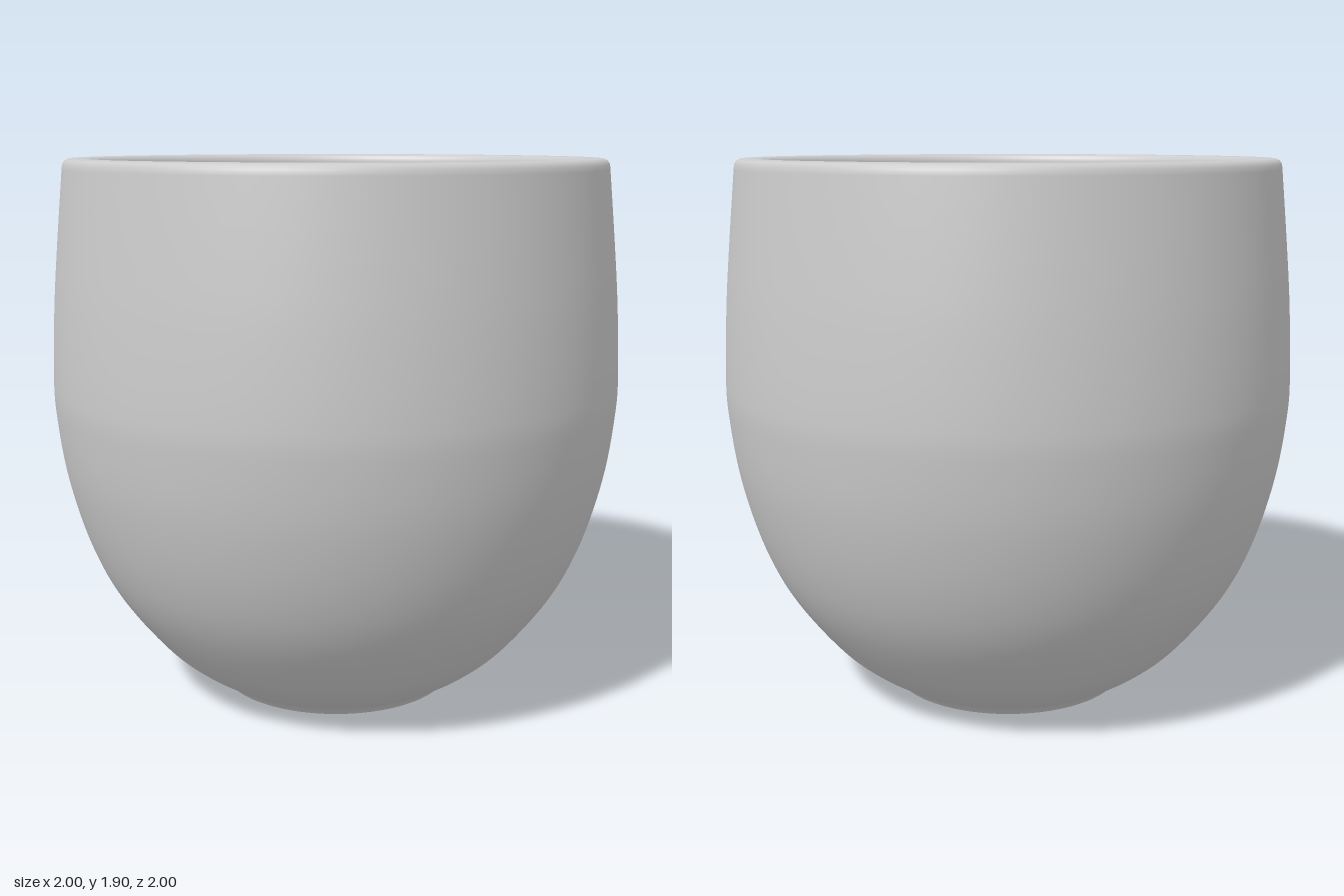
import * as THREE from 'three';

const material = new THREE.MeshStandardMaterial({ color: 0xcccccc, roughness: 0.8 });

// Turn a list of [radius, height] points into a smooth revolved surface
function revolve(name, points, samples) {
  let profile = points.map(([r, y]) => new THREE.Vector2(r, y));
  if (samples) {
    profile = new THREE.SplineCurve(profile).getPoints(samples);
    profile.forEach((p) => { p.x = Math.max(p.x, 0); });
  }
  const mesh = new THREE.Mesh(new THREE.LatheGeometry(profile, 128), material);
  mesh.name = name;
  return mesh;
}

export function createModel() {
  const cup = new THREE.Group();
  cup.name = 'cup';

  // Flat underside
  cup.add(revolve('base', [[0, 0], [0.405, 0]]));

  // Small rounded foot edge
  cup.add(revolve('footEdge', [[0.405, 0], [0.418, 0.003], [0.426, 0.012], [0.45, 0.035]], 12));

  // Rounded outer wall, widest just above the middle
  cup.add(revolve('outerWall', [
    [0.45, 0.035], [0.56, 0.105], [0.67, 0.205], [0.81, 0.39], [0.9, 0.58],
    [0.965, 0.81], [0.996, 1.03], [1, 1.17], [0.988, 1.41], [0.97, 1.62], [0.945, 1.87],
  ], 64));

  // Rim: rounded outer shoulder, flat top, rounded inner corner, short vertical lip
  cup.add(revolve('rim', [
    [0.945, 1.87], [0.943, 1.886], [0.935, 1.899], [0.92, 1.905],
    [0.87, 1.905], [0.855, 1.901], [0.844, 1.891], [0.84, 1.875], [0.84, 1.79],
  ]));

  // Narrow undercut below the lip
  cup.add(revolve('lipLedge', [[0.84, 1.79], [0.87, 1.79]]));

  // Hollow bowl, following the outer wall down to the floor
  cup.add(revolve('innerBowl', [
    [0.87, 1.79], [0.89, 1.5], [0.9, 1.17], [0.87, 0.85], [0.8, 0.6],
    [0.68, 0.38], [0.52, 0.22], [0.36, 0.14], [0.18, 0.11], [0, 0.105],
  ], 64));

  return cup;
}
